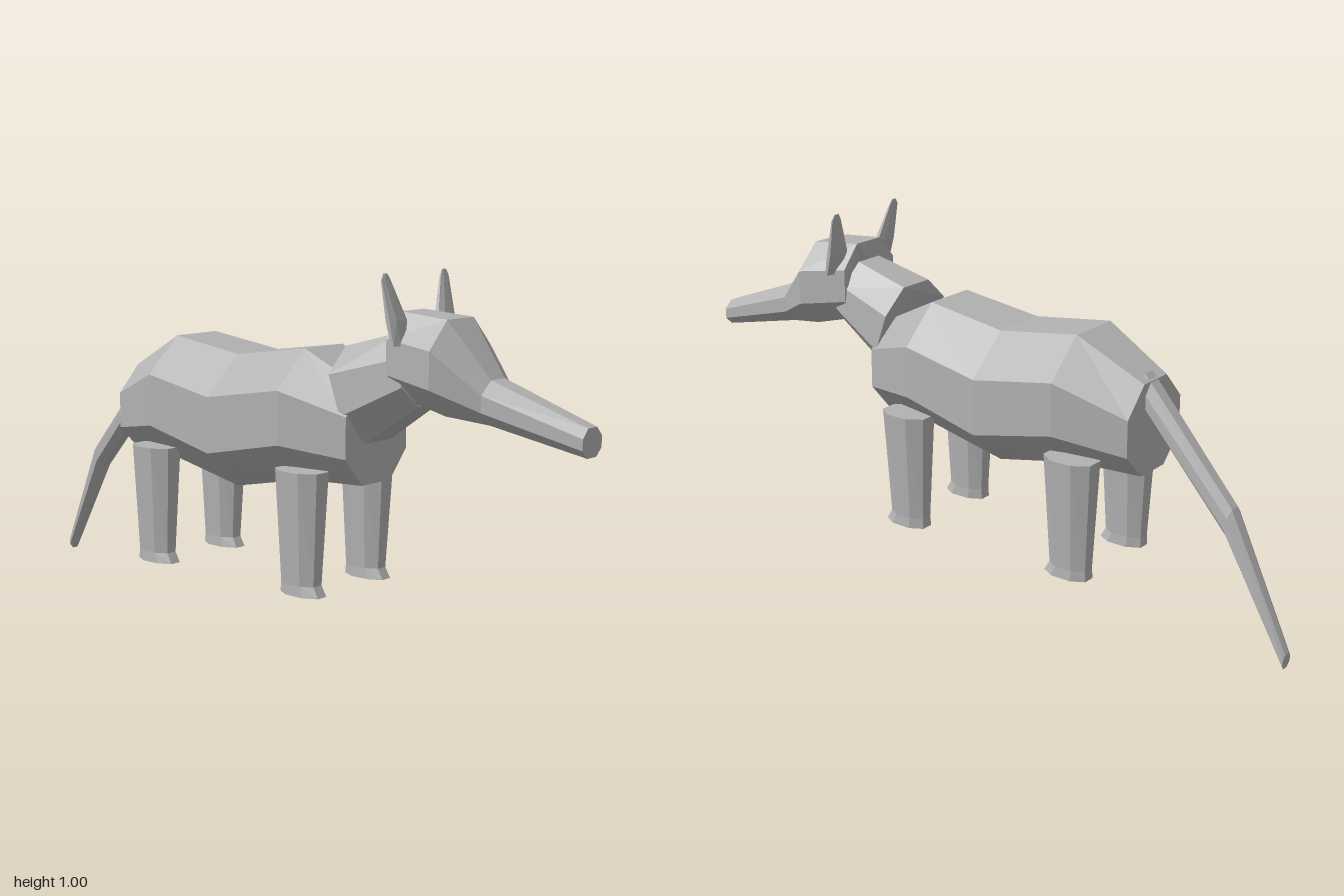
import * as THREE from 'three';

const grey = new THREE.MeshStandardMaterial({ color: 0xb2b2b2, flatShading: true });
grey.name = 'grey';

// Eight-sided ring: centre x, half width, half width of the two short edges,
// then four [z, y] levels running down one side.
function ring(cx, w, tw, levels) {
  const half = [tw, w, w, tw];
  const right = levels.map(([z, y], i) => new THREE.Vector3(cx + half[i], y, z));
  const left = levels.map(([z, y], i) => new THREE.Vector3(cx - half[i], y, z));
  return [...right, ...left.reverse()];
}

// Upright ring (all levels at one z) and flat ring (all levels at one y)
const upright = (z, cx, w, tw, ys) => ring(cx, w, tw, ys.map((y) => [z, y]));
function flat(y, cx, w, zFront, zBack, corner = 0.28) {
  const d = (zFront - zBack) * corner;
  return ring(cx, w, w * 0.45, [zFront, zFront - d, zBack + d, zBack].map((z) => [z, y]));
}

// Closed skin over a row of rings, with facing fixed by its signed volume
function loft(name, rings) {
  const tris = [];
  const n = rings[0].length;
  for (let r = 0; r < rings.length - 1; r++) {
    for (let i = 0; i < n; i++) {
      const j = (i + 1) % n;
      const [a, b, c, d] = [rings[r][i], rings[r][j], rings[r + 1][j], rings[r + 1][i]];
      tris.push([a, b, c], [a, c, d]);
    }
  }
  const first = rings[0];
  const last = rings[rings.length - 1];
  for (let i = 1; i < n - 1; i++) {
    tris.push([first[0], first[i + 1], first[i]], [last[0], last[i], last[i + 1]]);
  }
  const cross = new THREE.Vector3();
  const volume = tris.reduce((s, [a, b, c]) => s + a.dot(cross.crossVectors(b, c)), 0);
  const points = tris.flatMap(([a, b, c]) => (volume < 0 ? [a, c, b] : [a, b, c]));
  const geometry = new THREE.BufferGeometry().setFromPoints(points);
  geometry.computeVertexNormals();
  const mesh = new THREE.Mesh(geometry, grey);
  mesh.name = name;
  return mesh;
}

export function createModel() {
  const model = new THREE.Group();
  model.name = 'longSnoutedAnimal';

  // Barrel body
  model.add(loft('body', [
    upright(0.36, 0, 0.13, 0.06, [0.68, 0.61, 0.495, 0.415]),
    upright(0.17, 0, 0.193, 0.08, [0.775, 0.67, 0.52, 0.41]),
    upright(-0.08, 0, 0.21, 0.085, [0.74, 0.63, 0.47, 0.36]),
    upright(-0.33, 0, 0.195, 0.08, [0.775, 0.67, 0.52, 0.41]),
    upright(-0.53, 0, 0.13, 0.055, [0.67, 0.59, 0.485, 0.41]),
  ]));

  // Neck, leaning forward
  model.add(loft('neck', [
    ring(0, 0.132, 0.055, [[0.295, 0.79], [0.3, 0.72], [0.34, 0.61], [0.365, 0.53]]),
    ring(0.008, 0.1, 0.045, [[0.47, 0.838], [0.485, 0.77], [0.515, 0.7], [0.53, 0.645]]),
  ]));

  // Head and snout, turned slightly to one side
  model.add(loft('head', [
    ring(0.008, 0.108, 0.05, [[0.47, 0.893], [0.47, 0.825], [0.47, 0.73], [0.52, 0.655]]),
    upright(0.62, 0.018, 0.132, 0.057, [0.88, 0.805, 0.705, 0.63]),
    upright(0.73, 0.033, 0.073, 0.03, [0.73, 0.695, 0.65, 0.613]),
    upright(1, 0.055, 0.044, 0.02, [0.632, 0.608, 0.578, 0.556]),
  ]));

  // Thin upright ears
  for (const side of [-1, 1]) {
    const x = (offset) => 0.011 + side * offset;
    model.add(loft(side > 0 ? 'leftEar' : 'rightEar', [
      flat(0.81, x(0.096), 0.042, 0.522, 0.502),
      flat(0.875, x(0.104), 0.036, 0.511, 0.482),
      flat(0.98, x(0.125), 0.017, 0.481, 0.472),
      flat(0.995, x(0.125), 0.008, 0.477, 0.472),
    ]));
  }

  // Four tapering legs with flared feet
  for (const side of [-1, 1]) {
    for (const [name, z] of [['front', 0.213], ['back', -0.362]]) {
      const leg = (y, cx, w, zFront, zBack) => flat(y, side * cx, w, z + zFront, z + zBack);
      model.add(loft(`${name}${side > 0 ? 'Left' : 'Right'}Leg`, [
        leg(0.452, 0.14, 0.055, 0.076, -0.076),
        leg(0.135, 0.139, 0.037, 0.058, -0.061),
        leg(0.105, 0.139, 0.039, 0.075, -0.063),
      ]));
    }
  }

  // Long drooping tail, bent sideways
  model.add(loft('tail', [
    ring(0.003, 0.043, 0.018, [[-0.51, 0.688], [-0.512, 0.655], [-0.518, 0.61], [-0.52, 0.58]]),
    ring(0.035, 0.034, 0.015, [[-0.805, 0.385], [-0.802, 0.365], [-0.794, 0.33], [-0.79, 0.308]]),
    ring(0.076, 0.02, 0.009, [[-1, 0.042], [-1, 0.031], [-0.999, 0.014], [-0.997, 0]]),
  ]));

  return model;
}
